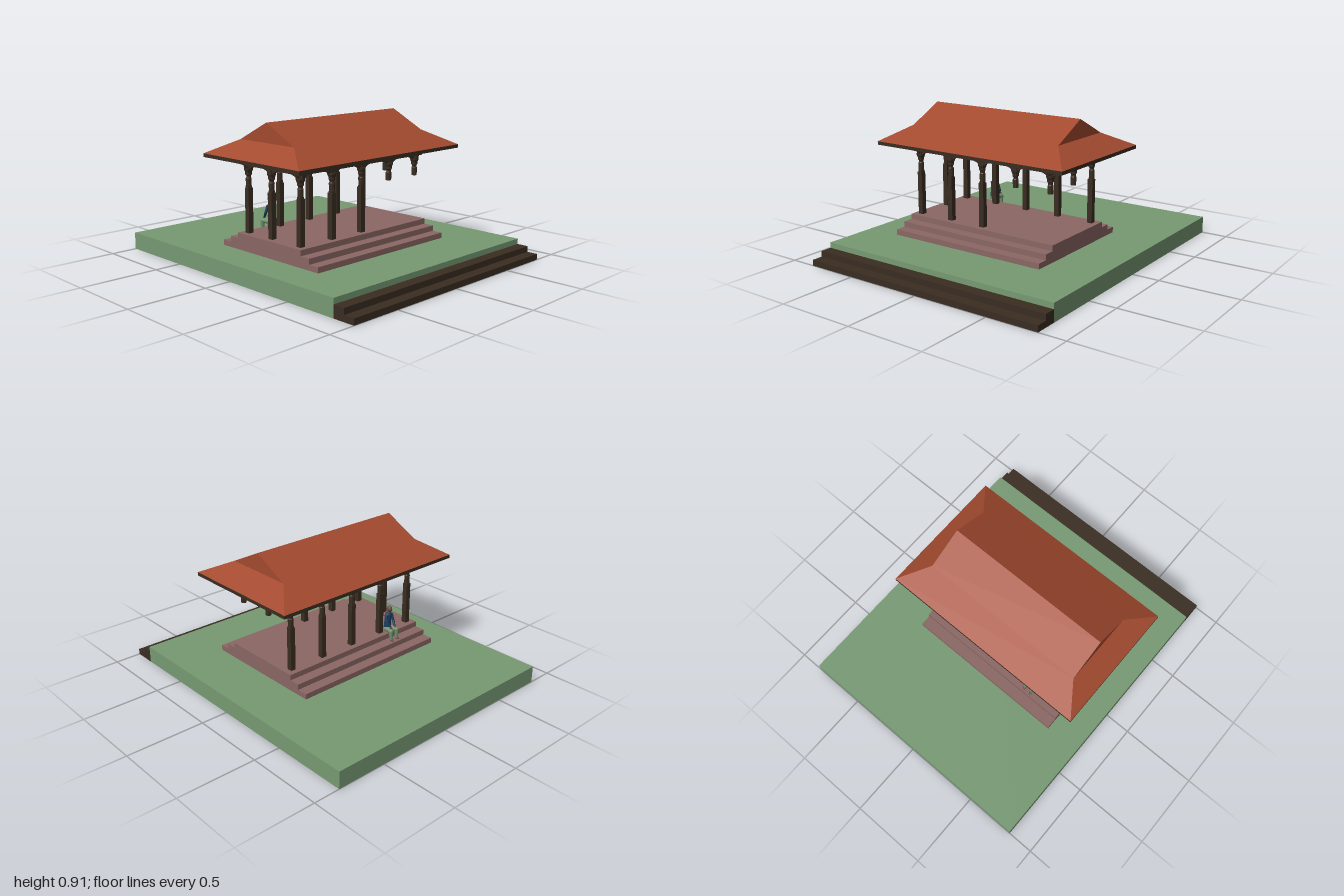
import * as THREE from 'three';

const mat = (name, color, flat = true) => {
  const m = new THREE.MeshStandardMaterial({ color, flatShading: flat });
  m.name = name;
  return m;
};

export function createModel() {
  const root = new THREE.Group();
  root.name = 'pavilion';
  const grass = mat('grass green', 0x779a73);
  const wood = mat('dark wood', 0x3a2d22);
  const stone = mat('rose stone', 0x8a6764);
  const tile = mat('roof tile', 0xa34a2f);
  const shirt = mat('blue shirt', 0x1d3f60, false);
  const trousers = mat('green trousers', 0x739470, false);
  const skin = mat('brown skin', 0x6e4a45, false);

  const add = (name, geo, material, parent = root) => {
    const m = new THREE.Mesh(geo, material);
    m.name = name;
    parent.add(m);
    return m;
  };
  // box given by its extents
  const box = (name, material, x0, x1, y0, y1, z0, z1, parent = root) => {
    const m = add(name, new THREE.BoxGeometry(x1 - x0, y1 - y0, z1 - z0), material, parent);
    m.position.set((x0 + x1) / 2, (y0 + y1) / 2, (z0 + z1) / 2);
    return m;
  };

  // ground and the long steps at its side
  box('lawn', grass, -1, 0.855, 0, 0.11, -0.83, 0.83);
  box('upperSideStep', wood, 0.855, 0.93, 0, 0.075, -0.83, 0.83);
  box('lowerSideStep', wood, 0.93, 1, 0, 0.038, -0.83, 0.83);

  // stepped plinth, flush at both ends
  const cx = 0.078, zf = 0.6, zb = -0.495;
  for (let i = 0; i < 3; i++) {
    const half = 0.4225 - i * 0.07;
    box('plinthTier' + (i + 1), stone, cx - half, cx + half, 0.11 + i * 0.035, 0.145 + i * 0.035, zb, zf);
  }

  // posts
  const xs = [-0.152, 0.06, 0.308];
  const zs = [0.55, 0.302, 0.053, -0.195, -0.442];
  const capital = new THREE.LatheGeometry(
    [[0, 0.503], [0.017, 0.503], [0.018, 0.553], [0.014, 0.558], [0.014, 0.567], [0.02, 0.575],
      [0.02, 0.588], [0.027, 0.605], [0.027, 0.615], [0, 0.615]].map(p => new THREE.Vector2(...p)), 8);
  const addPost = (x, z, hasShaft) => {
    const post = new THREE.Group();
    post.name = 'post';
    post.position.set(x, 0, z);
    root.add(post);
    add('capital', capital, wood, post);
    box('postHead', wood, -0.014, 0.014, 0.6, 0.65, -0.014, 0.014, post);
    if (!hasShaft) return;
    box('shaft', wood, -0.017, 0.017, 0.215, 0.495, -0.017, 0.017, post);
    box('neck', wood, -0.013, 0.013, 0.49, 0.506, -0.013, 0.013, post);
  };
  xs.forEach((x, i) => zs.forEach((z, j) => {
    if (i === 1 && j > 0 && j < 4) return;
    const hanging = (j === 4 && i > 0) || (j === 3 && i === 2);
    addPost(x, z, !hanging);
  }));

  // scalloped arch panel of a given length, starting at the origin along +x
  const arch = (len) => {
    const s = new THREE.Shape();
    s.moveTo(0, 0.64);
    s.lineTo(0, 0.595);
    const n = 28, r = len / 2 - 0.016;
    for (let i = 0; i <= n; i++) {
      const a = Math.PI * (1 - i / n);
      const ripple = 0.003 * Math.abs(Math.sin(a * 3.5));
      s.lineTo(len / 2 + Math.cos(a) * r, 0.595 + Math.sin(a) * 0.038 + ripple * Math.sin(a));
    }
    s.lineTo(len, 0.595);
    s.lineTo(len, 0.64);
    const g = new THREE.ExtrudeGeometry(s, { depth: 0.02, bevelEnabled: false });
    return g.translate(0, 0, -0.01);
  };
  // small corner bracket reaching outwards along +x
  const bracketShape = new THREE.Shape();
  bracketShape.moveTo(0, 0.595);
  bracketShape.quadraticCurveTo(0.022, 0.6, 0.032, 0.64);
  bracketShape.lineTo(0, 0.64);
  const bracket = new THREE.ExtrudeGeometry(bracketShape, { depth: 0.02, bevelEnabled: false }).translate(0, 0, -0.01);

  for (const z of [zs[0], zs[4]]) {
    for (let i = 0; i < 2; i++) add('endArch', arch(xs[i + 1] - xs[i]), wood).position.set(xs[i], 0, z);
    add('bracket', bracket, wood).position.set(xs[2], 0, z);
    const b = add('bracket', bracket, wood);
    b.position.set(xs[0], 0, z);
    b.rotation.y = Math.PI;
    box('endBeam', wood, -0.186, 0.342, 0.635, 0.682, z - 0.033, z + 0.033);
  }
  for (const x of [xs[0], xs[2]]) {
    for (let j = 0; j < 4; j++) {
      const a = add('sideArch', arch(zs[j] - zs[j + 1]), wood);
      a.position.set(x, 0, zs[j]);
      a.rotation.y = Math.PI / 2;
    }
    const b = add('bracket', bracket, wood);
    b.position.set(x, 0, zs[0]);
    b.rotation.y = -Math.PI / 2;
    box('sideBeam', wood, x - 0.033, x + 0.033, 0.635, 0.682, -0.474, 0.582);
  }

  // eaves slab and hip-and-gable roof
  const ef = 0.737, eb = -0.642, hw = 0.4225, gw = 0.235;
  box('eaves', wood, cx - hw, cx + hw, 0.68, 0.702, eb, ef);
  const P = (dx, y, z) => [cx + dx, y, z];
  const side = (s) => ({
    A: P(s * hw, 0.702, ef), B: P(s * hw, 0.702, eb),
    C: P(s * gw, 0.794, zb), F: P(s * gw, 0.794, zf),
  });
  const D = P(0, 0.912, zb), E = P(0, 0.912, zf);
  const R = side(1), L = side(-1);
  const faces = [
    [R.A, R.B, R.C, R.F], [R.F, R.C, D, E],
    [L.B, L.A, L.F, L.C], [L.C, L.F, E, D],
    [L.A, R.A, R.F, L.F], [L.F, R.F, E],
    [R.B, L.B, L.C, R.C], [R.C, L.C, D],
  ];
  const pos = [];
  for (const f of faces) for (let i = 1; i < f.length - 1; i++) pos.push(...f[0], ...f[i], ...f[i + 1]);
  const roof = new THREE.BufferGeometry();
  roof.setAttribute('position', new THREE.Float32BufferAttribute(pos, 3));
  roof.computeVertexNormals();
  add('roof', roof, tile);

  // seated figure on the plinth edge, leaning by a post
  const person = new THREE.Group();
  person.name = 'seatedFigure';
  root.add(person);
  const limb = (name, material, a, b, r0, r1) => {
    const va = new THREE.Vector3(...a), vb = new THREE.Vector3(...b);
    const dir = vb.clone().sub(va);
    const m = add(name, new THREE.CylinderGeometry(r1, r0, dir.length(), 10), material, person);
    m.position.copy(va).add(vb).multiplyScalar(0.5);
    m.quaternion.setFromUnitVectors(new THREE.Vector3(0, 1, 0), dir.normalize());
    const joint = add(name + 'Joint', new THREE.SphereGeometry(r1, 10, 6), material, person);
    joint.position.copy(vb);
  };
  const ball = (name, material, p, sx, sy, sz) => {
    const m = add(name, new THREE.SphereGeometry(1, 12, 8), material, person);
    m.position.set(...p);
    m.scale.set(sx, sy, sz);
  };
  ball('hips', trousers, [-0.187, 0.248, 0.345], 0.024, 0.02, 0.032);
  limb('torso', shirt, [-0.185, 0.25, 0.342], [-0.192, 0.345, 0.342], 0.024, 0.021);
  ball('shoulders', shirt, [-0.193, 0.345, 0.342], 0.018, 0.017, 0.029);
  for (const s of [-1, 1]) {
    const z = 0.347 + s * 0.025;
    limb('thigh', trousers, [-0.185, 0.247, 0.346 + s * 0.014], [-0.24, 0.247, z], 0.018, 0.015);
    limb('shin', trousers, [-0.24, 0.247, z], [-0.243, 0.19, z], 0.015, 0.01);
    ball('foot', skin, [-0.249, 0.187, z], 0.016, 0.008, 0.009);
    limb('upperArm', shirt, [-0.195, 0.348, 0.342 + s * 0.023], [-0.208, 0.302, 0.342 + s * 0.03], 0.01, 0.009);
    limb('forearm', shirt, [-0.208, 0.302, 0.342 + s * 0.03], [-0.23, 0.274, 0.345 + s * 0.018], 0.009, 0.007);
    ball('hand', skin, [-0.235, 0.268, 0.345 + s * 0.018], 0.009, 0.007, 0.008);
  }
  limb('neck', skin, [-0.195, 0.35, 0.342], [-0.198, 0.38, 0.342], 0.009, 0.009);
  ball('head', skin, [-0.201, 0.389, 0.342], 0.02, 0.022, 0.016);

  return root;
}
